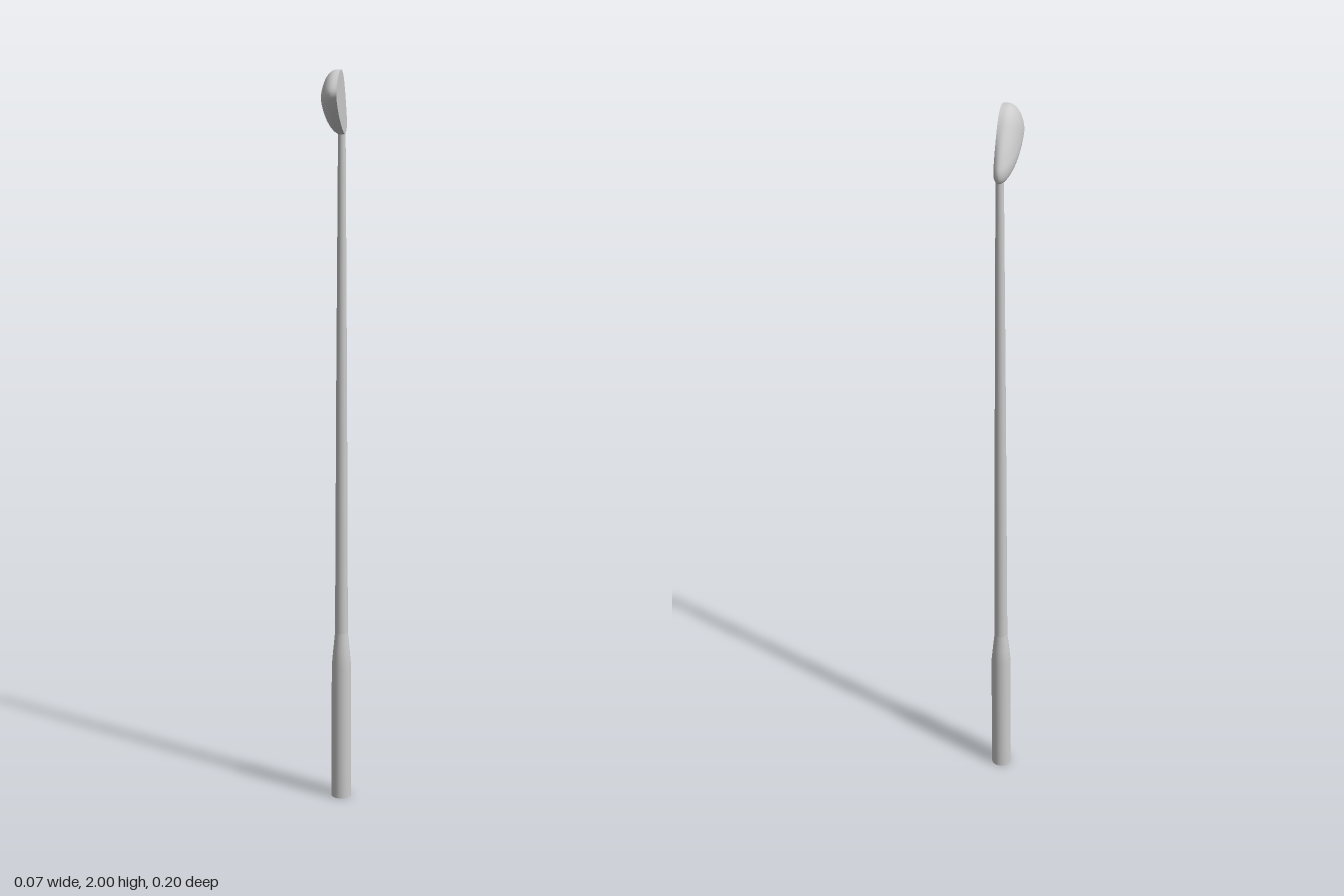
import * as THREE from 'three';

const material = new THREE.MeshStandardMaterial({ color: 0xcccccc });

// Head outline as [z, y], running from the toe over the crown to the heel and back along the sole
const OUTLINE = [
  [0.103, 1.936], [0.077, 1.973], [0.02, 2.0], [-0.02, 1.99], [-0.056, 1.95], [-0.088, 1.898],
  [-0.1, 1.866], [-0.093, 1.845], [-0.06, 1.838], [-0.02, 1.846], [0.035, 1.871], [0.082, 1.905],
];
const CENTRE = { z: 0.02, y: 1.925 };
const FACE_X = 0.015, RIM_X = 0.004, DEPTH = 0.039;

function addMesh(group, name, geometry) {
  const mesh = new THREE.Mesh(geometry, material);
  mesh.name = name;
  group.add(mesh);
  return mesh;
}

// Point pulled towards the centre of the head
const shrink = (p, s) => ({ z: CENTRE.z + (p.z - CENTRE.z) * s, y: CENTRE.y + (p.y - CENTRE.y) * s });

// Shell from rings: face edge, rim, then an elliptical dome closing at the back
function shellGeometry(outline, faceEdge) {
  const n = outline.length, domeRings = 14;
  const rings = [faceEdge.map(p => [FACE_X, p.y, p.z])];
  outline.forEach(() => {});
  rings.push(outline.map((p, i) => [0.01, (p.y * 3 + faceEdge[i].y) / 4, (p.z * 3 + faceEdge[i].z) / 4]));
  for (let j = 0; j <= domeRings; j++) {
    const a = (j / domeRings) * Math.PI / 2;
    rings.push(outline.map(p => {
      const q = shrink(p, Math.cos(a));
      return [RIM_X - DEPTH * Math.sin(a), q.y, q.z];
    }));
  }
  const index = [];
  for (let j = 0; j < rings.length - 1; j++) {
    for (let i = 0; i < n; i++) {
      const k = (i + 1) % n;
      const a = j * n + i, b = j * n + k, c = a + n, d = b + n;
      index.push(a, b, c, b, d, c);
    }
  }
  const geometry = new THREE.BufferGeometry();
  geometry.setAttribute('position', new THREE.Float32BufferAttribute(rings.flat(2), 3));
  geometry.setIndex(index);
  geometry.computeVertexNormals();
  return geometry;
}

function createHead() {
  const head = new THREE.Group();
  head.name = 'clubHead';
  const curve = new THREE.CatmullRomCurve3(OUTLINE.map(([z, y]) => new THREE.Vector3(0, y, z)), true);
  const outline = curve.getSpacedPoints(64).slice(0, 64);
  // The face edge is drawn in at the heel, which rounds it off
  const faceEdge = outline.map(p => shrink(p, 1 - 0.09 * THREE.MathUtils.smoothstep(-p.z, 0.03, 0.1)));

  addMesh(head, 'headShell', shellGeometry(outline, faceEdge));

  const face = new THREE.Shape(faceEdge.map(p => new THREE.Vector2(-p.z, p.y)));
  const faceMesh = addMesh(head, 'strikingFace', new THREE.ShapeGeometry(face));
  faceMesh.rotation.y = Math.PI / 2;
  faceMesh.position.x = FACE_X;
  return head;
}

// Shaft and grip are turned profiles of [radius, y]
function turned(points) {
  return new THREE.LatheGeometry(points.map(([r, y]) => new THREE.Vector2(r, y)), 32);
}

export function createModel() {
  const model = new THREE.Group();
  model.name = 'golfClub';

  const handle = new THREE.Group();
  handle.name = 'handle';
  handle.position.set(0.005, 0, -0.064);
  addMesh(handle, 'shaft', turned([[0.018, 0.47], [0.0145, 1.2], [0.01, 1.85], [0, 1.85]]));
  addMesh(handle, 'grip', turned([[0.028, 0], [0.027, 0.385], [0.023, 0.43], [0.018, 0.48]]));
  const cap = addMesh(handle, 'gripEnd', new THREE.CircleGeometry(0.028, 32));
  cap.rotation.x = Math.PI / 2;

  model.add(handle, createHead());
  return model;
}
